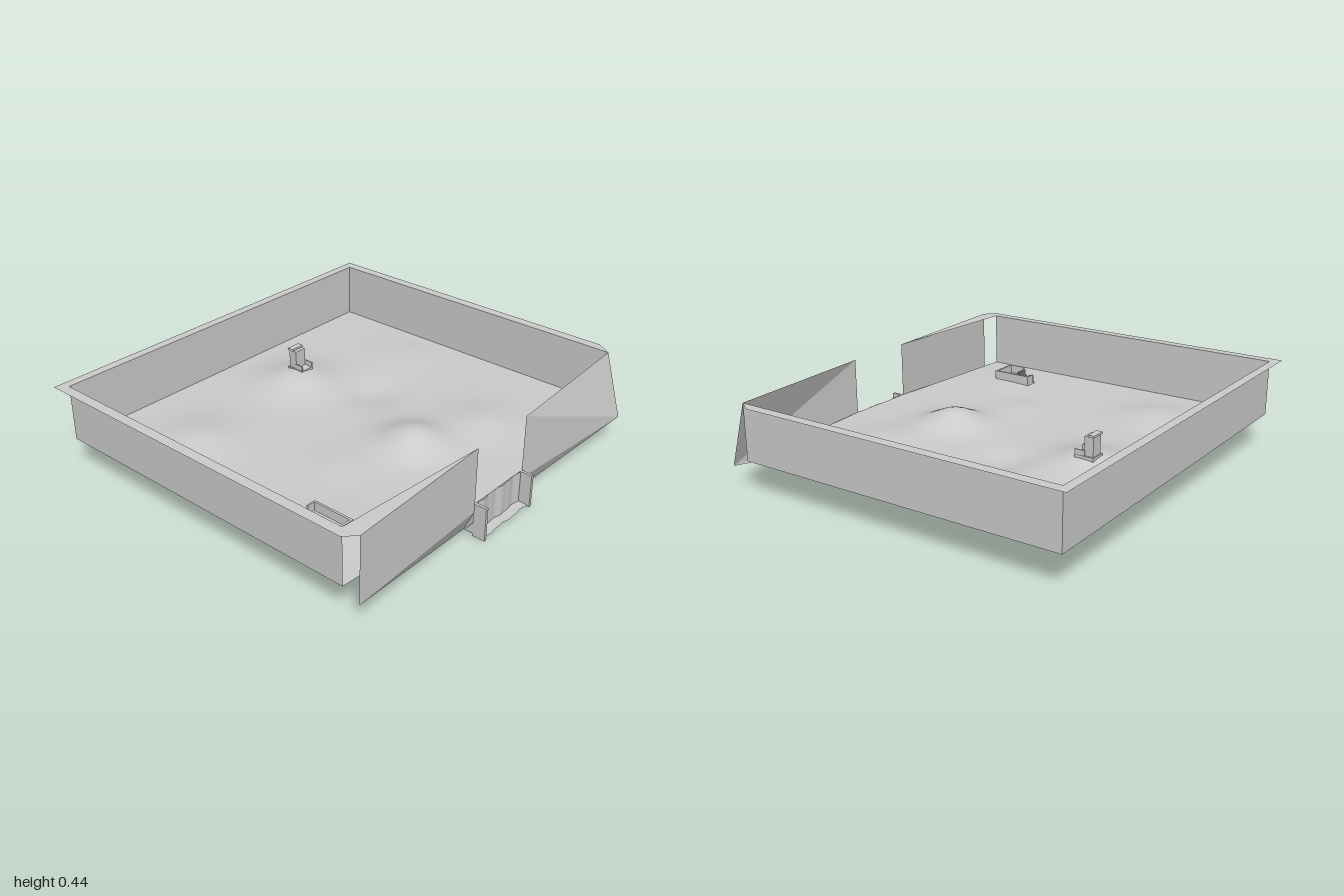
import * as THREE from 'three';

const mat = new THREE.MeshStandardMaterial({ color: 0xcccccc, side: THREE.DoubleSide });
const BASE = 0.163, TOP = 0.435, BACK = -0.855, SIDE = 0.95, GAP = 0.175;

// Flat surface from corner polygons, each split into a fan
function surface(name, ...polys) {
  const pos = [];
  for (const p of polys)
    for (let i = 1; i < p.length - 1; i++) pos.push(...p[0], ...p[i], ...p[i + 1]);
  const g = new THREE.BufferGeometry();
  g.setAttribute('position', new THREE.Float32BufferAttribute(pos, 3));
  g.computeVertexNormals();
  const m = new THREE.Mesh(g, mat);
  m.name = name;
  return m;
}

function box(name, x0, x1, y0, y1, z0, z1) {
  const m = new THREE.Mesh(new THREE.BoxGeometry(x1 - x0, y1 - y0, z1 - z0), mat);
  m.position.set((x0 + x1) / 2, (y0 + y1) / 2, (z0 + z1) / 2);
  m.name = name;
  return m;
}

function group(name, ...parts) {
  const g = new THREE.Group();
  g.name = name;
  g.add(...parts);
  return g;
}

// Front edge of the floor bows out towards the gate
const frontZ = x => 0.785 + 0.05 * (1 - Math.max(0, Math.abs(x) - GAP) / (SIDE - GAP));

// Hills and one hollow: x, z, height, radius
const hills = [
  [0.04, 0.33, 0.08, 0.11], [0.13, -0.48, 0.065, 0.13], [-0.58, -0.43, 0.035, 0.13],
  [0.4, 0.45, 0.03, 0.13], [-0.7, 0.52, 0.012, 0.12], [-0.32, 0.2, 0.012, 0.1],
  [0.7, -0.28, 0.015, 0.14], [0.3, -0.13, -0.026, 0.09],
];
function groundY(x, z) {
  let h = 0;
  for (const [cx, cz, a, r] of hills) h += a * Math.exp(-((x - cx) ** 2 + (z - cz) ** 2) / (2 * r * r));
  const edge = Math.min(SIDE - Math.abs(x), z - BACK, frontZ(x) - z);
  return BASE + h * THREE.MathUtils.smoothstep(edge, 0, 0.15);
}

function ground() {
  const g = new THREE.PlaneGeometry(2 * SIDE, 1, 64, 56).rotateX(-Math.PI / 2);
  const p = g.attributes.position;
  for (let i = 0; i < p.count; i++) {
    const x = p.getX(i), z = THREE.MathUtils.lerp(BACK, frontZ(x), p.getZ(i) + 0.5);
    p.setXYZ(i, x, groundY(x, z), z);
  }
  g.computeVertexNormals();
  const m = new THREE.Mesh(g, mat);
  m.name = 'hillyGround';
  return m;
}

// Gate recess with rippled back panel and sill
function gate() {
  const w = GAP, n = 24;
  const wave = x => 0.004 * Math.sin(x * 40) + 0.002 * Math.sin(x * 95);
  const panel = [], sill = [];
  for (let i = 0; i < n; i++) {
    const a = -w + (2 * w * i) / n, b = -w + (2 * w * (i + 1)) / n;
    const za = 0.837 + wave(a), zb = 0.837 + wave(b);
    panel.push([[a, 0.01, za], [b, 0.01, zb], [b, BASE, zb], [a, BASE, za]]);
    sill.push([[a, 0.012, 0.787], [a, 0.008, 0.884 + wave(a)], [b, 0.008, 0.884 + wave(b)], [b, 0.012, 0.787]]);
  }
  const g = group('gate', surface('gatePanel', ...panel), surface('gateSill', ...sill));
  for (const s of [-1, 1]) {
    const x = s * (w - 0.005);
    g.add(box('gatePost', x - 0.007, x + 0.007, 0, BASE, 0.832, 0.895));
    g.add(surface('gateCheek', [[s * w, 0.012, 0.787], [s * w, 0.012, 0.84], [s * w, 0.075, 0.84]]));
  }
  return g;
}

// Small hut on the rear hill
function hut() {
  const y = 0.205;
  return group('hut',
    box('hutFloor', 0.13, 0.208, y, y + 0.025, -0.545, -0.45),
    box('hutTower', 0.137, 0.2, y, y + 0.115, -0.54, -0.495),
    box('hutRoof', 0.132, 0.205, y + 0.115, y + 0.125, -0.545, -0.515),
    box('porchWallLeft', 0.2, 0.206, y, y + 0.05, -0.5, -0.45),
    box('porchWallRight', 0.132, 0.138, y, y + 0.05, -0.5, -0.45));
}

// L-shaped shelter with outer walls and a row of inner posts
function shelter() {
  const y = BASE, t = y + 0.055;
  const g = group('shelter',
    box('shelterFloorLong', -0.72, -0.655, y, y + 0.012, 0.37, 0.58),
    box('shelterFloorShort', -0.8, -0.72, y, y + 0.012, 0.48, 0.58),
    box('shelterSideWall', -0.665, -0.655, y, t, 0.37, 0.58),
    box('shelterFrontWall', -0.8, -0.665, y, t, 0.57, 0.58),
    box('shelterBackEnd', -0.705, -0.665, y, t, 0.37, 0.377),
    box('shelterRightEnd', -0.8, -0.793, y, t, 0.49, 0.57));
  for (let i = 0; i < 5; i++) g.add(box('post', -0.72, -0.711, y, t - 0.01, 0.375 + i * 0.022, 0.382 + i * 0.022));
  for (let i = 0; i < 4; i++) g.add(box('post', -0.795 + i * 0.019, -0.787 + i * 0.019, y, t - 0.01, 0.48, 0.487));
  return g;
}

export function createModel() {
  const model = group('walledField', ground(), gate(), hut(), shelter());
  const L = 0.12, G = 0.835;

  // Side and back walls
  for (const s of [-1, 1])
    model.add(surface('sideWall', [[s * SIDE, BASE, BACK], [s * SIDE, BASE, 0.785], [s * SIDE, TOP, 0.785], [s * SIDE, TOP, BACK]]));
  model.add(surface('backWall', [[-SIDE, BASE, BACK], [SIDE, BASE, BACK], [SIDE, TOP, BACK], [-SIDE, TOP, BACK]]));

  // Front panels: the left one leans out at its foot, the right one is upright
  for (const [s, zTop, zFoot] of [[1, 0.785, 0.88], [-1, 0.87, 0.87]]) {
    model.add(surface('frontWall',
      [[s * SIDE, L, zFoot], [s * GAP, L, G], [s * GAP, TOP, G]],
      [[s * SIDE, L, zFoot], [s * GAP, TOP, G], [s * SIDE, TOP, zTop]]));
    model.add(surface('frontFooting', [[s * SIDE, L, zFoot], [s * GAP, L, G], [s * GAP, 0.015, 0.788]]));
  }

  // Flat rim around the wall tops
  const r = (x, z) => [x, TOP, z];
  model.add(surface('rim',
    [r(-1, -0.9), r(1, -0.9), r(SIDE, BACK), r(-SIDE, BACK)],
    [r(1, -0.9), r(1, 0.71), r(SIDE, 0.785), r(SIDE, BACK)],
    [r(-1, -0.9), r(-SIDE, BACK), r(-SIDE, 0.785), r(-1, 0.82)],
    [r(-1, 0.82), r(-SIDE, 0.785), r(-SIDE, 0.87)],
    [r(-SIDE, 0.87), r(-SIDE, 0.785), r(-GAP, G)]));
  return model;
}
